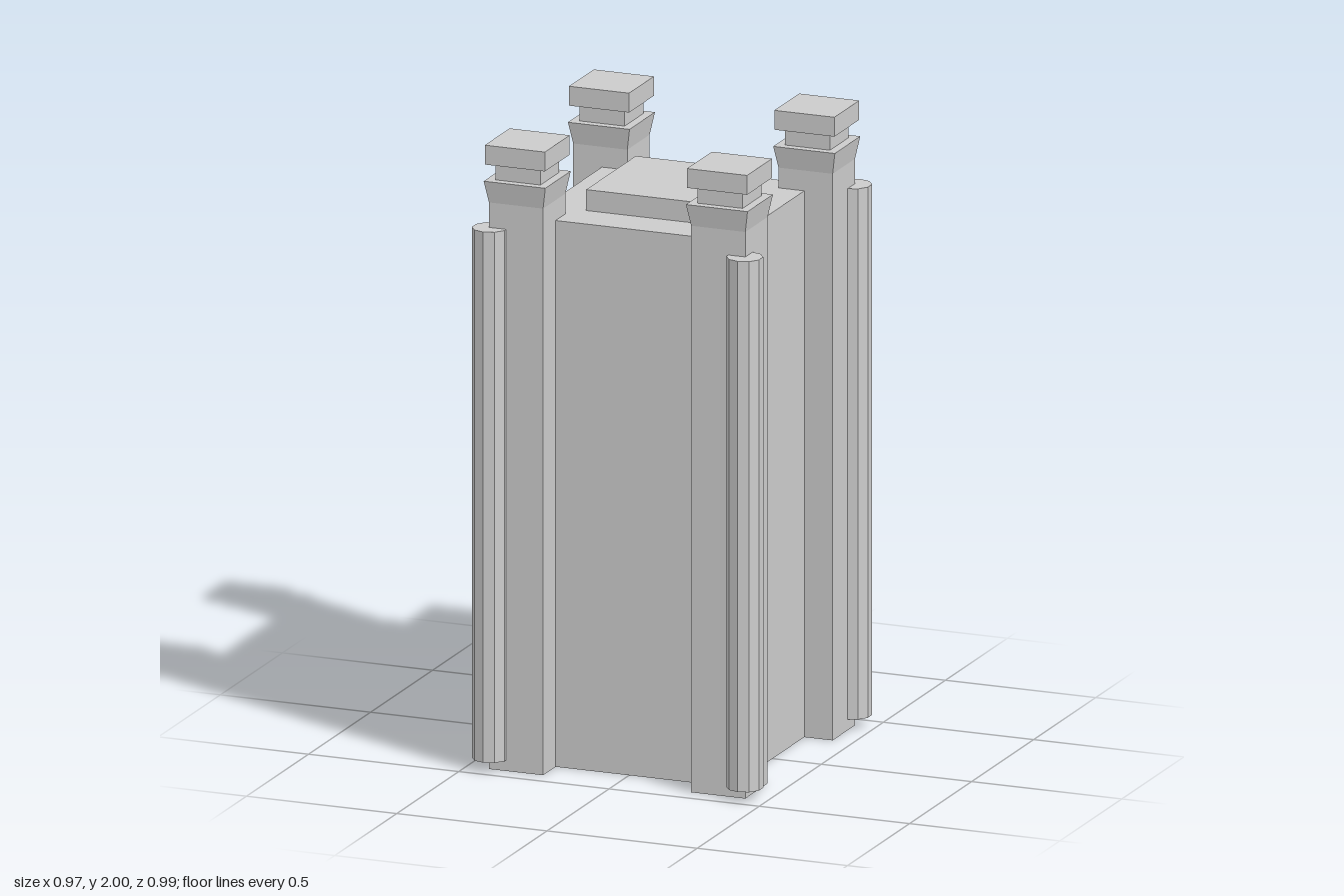
import * as THREE from 'three';

const material = new THREE.MeshStandardMaterial({ color: 0xcccccc, flatShading: true });

function add(parent, name, geometry, x, y, z) {
  const mesh = new THREE.Mesh(geometry, material);
  mesh.name = name;
  mesh.position.set(x, y, z);
  parent.add(mesh);
  return mesh;
}

// Box given by its width, bottom and top
function block(parent, name, width, y0, y1) {
  return add(parent, name, new THREE.BoxGeometry(width, y1 - y0, width), 0, (y0 + y1) / 2, 0);
}

// Square frustum that widens from one width to another
function flare(parent, name, w0, w1, y0, y1) {
  const g = new THREE.CylinderGeometry(w1 * Math.SQRT1_2, w0 * Math.SQRT1_2, y1 - y0, 4);
  g.rotateY(Math.PI / 4);
  return add(parent, name, g, 0, (y0 + y1) / 2, 0);
}

function createTower(x, z) {
  const tower = new THREE.Group();
  tower.name = 'cornerTower';
  tower.position.set(x, 0, z);
  block(tower, 'towerShaft', 0.18, 0, 1.815);
  flare(tower, 'towerFlare', 0.18, 0.205, 1.815, 1.885);
  block(tower, 'towerNeck', 0.15, 1.885, 1.938);
  block(tower, 'towerCap', 0.2, 1.938, 2);
  // Round column on the outer corner
  const column = new THREE.CylinderGeometry(0.057, 0.057, 1.7, 10);
  add(tower, 'cornerColumn', column, Math.sign(x) * 0.087, 0.885, Math.sign(z) * 0.087);
  return tower;
}

export function createModel() {
  const model = new THREE.Group();
  model.name = 'keep';

  // Main block and the raised slab on its roof
  block(model, 'mainBlock', 0.675, 0, 1.75);
  block(model, 'roofSlab', 0.4, 1.75, 1.817);

  // Corner towers, set slightly unevenly
  const corners = [[-0.343, -0.35], [0.342, -0.346], [-0.335, 0.348], [0.338, 0.348]];
  for (const [x, z] of corners) model.add(createTower(x, z));

  return model;
}
